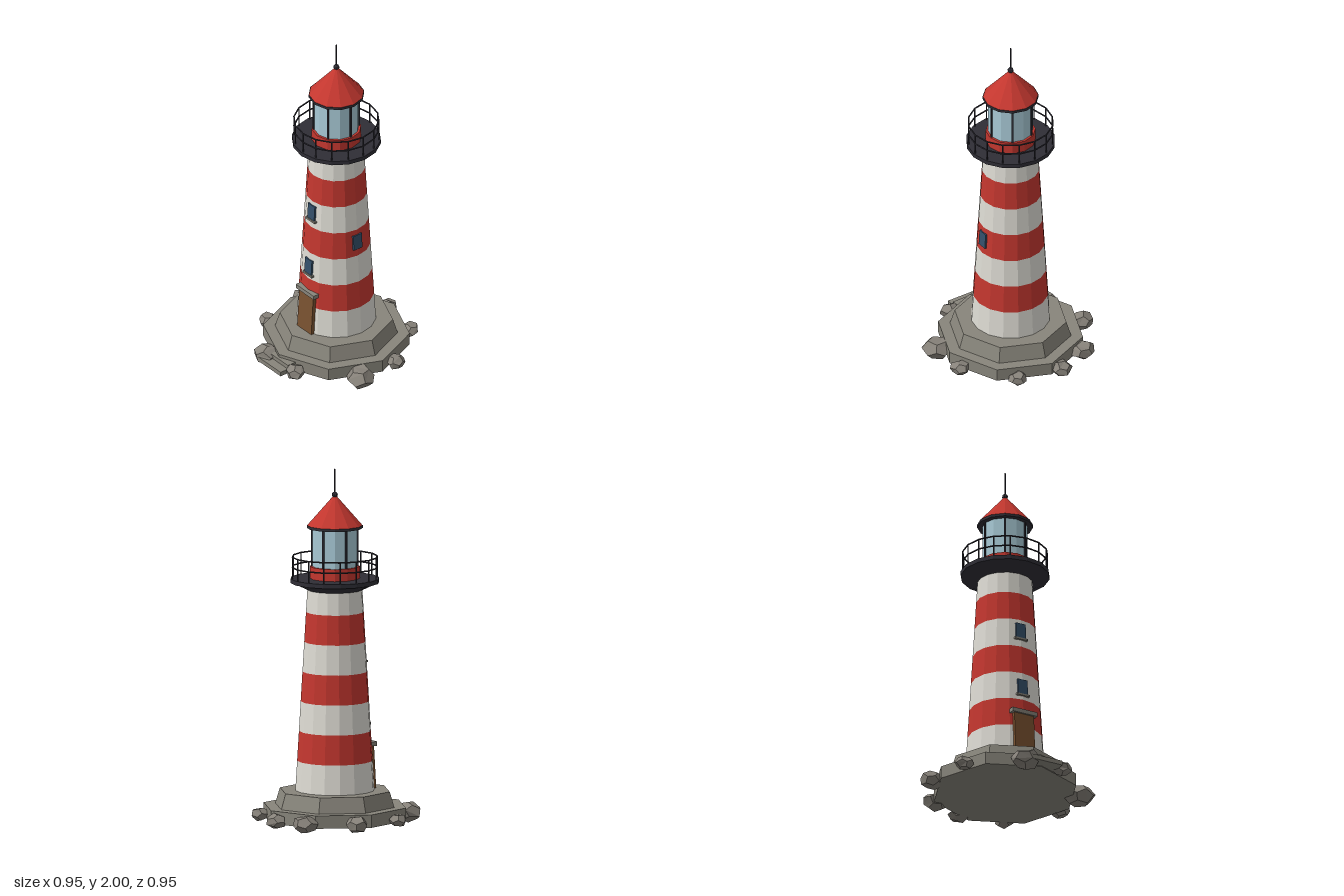
import * as THREE from 'three';

const mat = (name, color, extra = {}) => {
  const m = new THREE.MeshStandardMaterial({ color, flatShading: true, ...extra });
  m.name = name;
  return m;
};

export function createModel() {
  const white = mat('white paint', 0xdedcd4);
  const red = mat('red paint', 0xc4372f);
  const iron = mat('dark iron', 0x2f2e36);
  const stone = mat('stone', 0x88857b);
  const rockGrey = mat('rock', 0x87827a);
  const wood = mat('door wood', 0x7a5230);
  const glass = mat('lantern glass', 0xa8cad6);
  const pane = mat('window pane', 0x34506a);

  const model = new THREE.Group();
  model.name = 'lighthouse';
  const tower = new THREE.Group();
  tower.name = 'tower';
  tower.position.z = -0.009;
  model.add(tower);

  const add = (name, geo, material, x = 0, y = 0, z = 0, parent = tower) => {
    const mesh = new THREE.Mesh(geo, material);
    mesh.name = name;
    mesh.position.set(x, y, z);
    parent.add(mesh);
    return mesh;
  };
  // Upright frustum from y0 to y1
  const drum = (name, material, r0, r1, y0, y1, sides, open = false) =>
    add(name, new THREE.CylinderGeometry(r1, r0, y1 - y0, sides, 1, open), material, 0, (y0 + y1) / 2, 0);

  // Octagonal foundation in two tiers
  drum('lowerFoundation', stone, 0.407, 0.407, 0.048, 0.12, 8);
  drum('upperFoundation', stone, 0.341, 0.314, 0.12, 0.207, 8);

  // Entrance steps
  add('upperStep', new THREE.BoxGeometry(0.194, 0.05, 0.14), stone, 0, 0.077, 0.351);
  add('lowerStep', new THREE.BoxGeometry(0.194, 0.026, 0.19), stone, 0, 0.065, 0.378);

  // Tapered shaft with seven alternating bands
  const y0 = 0.207, bandHeight = 0.166, slope = 0.0595;
  const radius = (y) => 0.22 - slope * (y - y0);
  for (let i = 0; i < 7; i++) {
    const a = y0 + i * bandHeight, b = a + bandHeight;
    drum('shaftBand', i % 2 ? red : white, radius(a), radius(b), a, b, 16, true);
  }

  // Door and lintel, leaning with the wall
  const lean = -Math.atan(slope);
  add('door', new THREE.BoxGeometry(0.124, 0.24, 0.04), wood, 0, 0.326, 0.201).rotation.x = lean;
  add('doorLintel', new THREE.BoxGeometry(0.158, 0.024, 0.055), stone, 0, 0.457, 0.197);

  // Windows; the front pair have sills
  const addWindow = (y, angle, sill) => {
    const holder = new THREE.Group();
    holder.name = 'window';
    holder.rotation.y = angle;
    tower.add(holder);
    const r = radius(y);
    add('windowPane', new THREE.BoxGeometry(0.06, 0.09, 0.03), pane, 0, y, r - 0.01, holder).rotation.x = lean;
    if (sill) add('windowSill', new THREE.BoxGeometry(0.08, 0.011, 0.04), stone, 0, y - 0.05, r - 0.007, holder);
  };
  addWindow(0.617, 0, true);
  addWindow(0.967, 0, true);
  addWindow(0.793, Math.PI / 2, false);

  // Gallery deck on a flared bracket
  drum('galleryBracket', iron, 0.15, 0.235, 1.325, 1.366, 16);
  drum('galleryDeck', iron, 0.247, 0.247, 1.366, 1.39, 16);

  // Gallery railing
  const railRadius = 0.236;
  for (const y of [1.452, 1.51]) {
    add('galleryRail', new THREE.TorusGeometry(railRadius, 0.0045, 5, 16), iron, 0, y, 0).rotation.x = Math.PI / 2;
  }
  const post = new THREE.CylinderGeometry(0.004, 0.004, 0.122, 5);
  for (let i = 0; i < 16; i++) {
    const a = (i / 16) * Math.PI * 2;
    add('railingPost', post, iron, Math.sin(a) * railRadius, 1.45, Math.cos(a) * railRadius);
  }

  // Lantern room with glazing bars
  drum('lanternBase', red, 0.138, 0.138, 1.39, 1.457, 12);
  drum('lanternGlass', glass, 0.125, 0.125, 1.457, 1.672, 12);
  const bar = new THREE.BoxGeometry(0.011, 0.215, 0.011);
  for (let i = 0; i < 6; i++) {
    const a = Math.PI / 6 + (i / 6) * Math.PI * 2;
    add('glazingBar', bar, iron, Math.sin(a) * 0.126, 1.5645, Math.cos(a) * 0.126).rotation.y = a;
  }

  // Roof, finial and lightning rod
  drum('roofEave', iron, 0.155, 0.155, 1.67, 1.685, 12);
  drum('roof', red, 0.153, 0.008, 1.685, 1.85, 12);
  add('finial', new THREE.SphereGeometry(0.017, 8, 6), iron, 0, 1.855, 0);
  drum('lightningRod', iron, 0.004, 0.004, 1.86, 2, 6);

  // Rocks around the foundation: x, z, radius, height of centre
  const rocks = [
    [-0.06, -0.42, 0.062, 0.07], [-0.253, -0.343, 0.072, 0.072], [-0.41, -0.105, 0.068, 0.073],
    [-0.368, 0.182, 0.054, 0.07], [-0.103, 0.398, 0.083, 0.068], [0.133, 0.388, 0.059, 0.07],
    [0.39, 0.133, 0.088, 0.066], [0.405, -0.107, 0.056, 0.072], [0.198, -0.37, 0.055, 0.072],
  ];
  rocks.forEach(([x, z, r, y], n) => {
    const geo = new THREE.DodecahedronGeometry(r, 0);
    const p = geo.attributes.position;
    // Shared corners get the same push, so the faces stay joined
    for (let i = 0; i < p.count; i++) {
      const [a, b, c] = [p.getX(i) / r, p.getY(i) / r, p.getZ(i) / r];
      const k = 0.97 + 0.09 * Math.sin(5 * a + 7 * b + 3 * c + n * 2.3);
      p.setXYZ(i, p.getX(i) * k, p.getY(i) * k, p.getZ(i) * k);
    }
    geo.rotateZ(n * 0.7);
    geo.rotateY(n * 1.3);
    geo.scale(1, 0.72, 1);
    geo.computeVertexNormals();
    geo.computeBoundingBox();
    add('rock', geo, rockGrey, x, Math.max(y, -geo.boundingBox.min.y), z, model);
  });

  return model;
}
